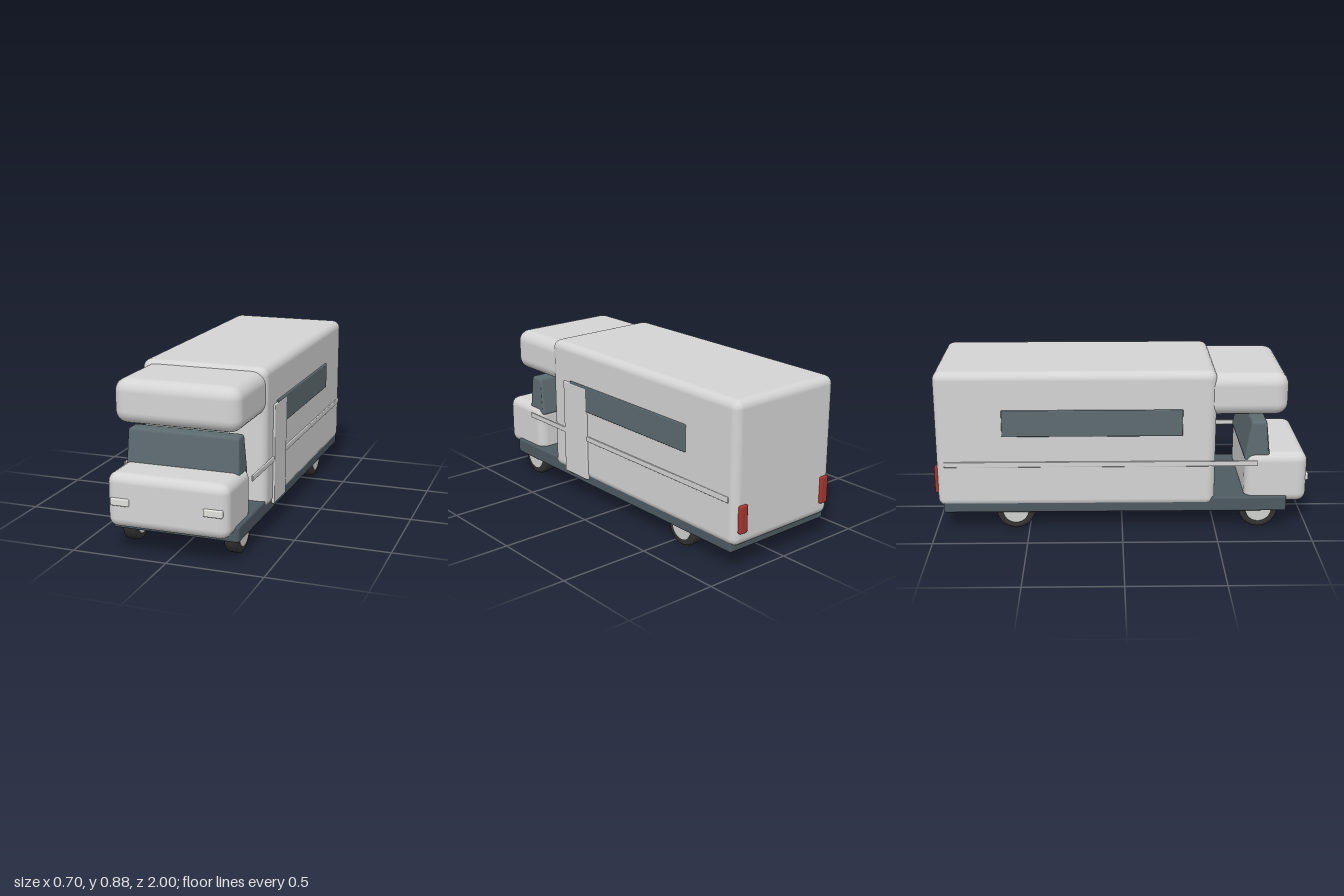
import * as THREE from 'three';
import { RoundedBoxGeometry } from 'three/addons/geometries/RoundedBoxGeometry.js';

const material = (name, color) => {
  const m = new THREE.MeshStandardMaterial({ color });
  m.name = name;
  return m;
};

export function createModel() {
  const group = new THREE.Group();
  group.name = 'motorhome';
  const paint = material('pale grey paint', 0xd4d4d4);
  const glass = material('slate glass', 0x5d6b70);
  const frame = material('dark slate frame', 0x4e5b62);
  const rubber = material('black rubber', 0x333333);
  const lamp = material('lamp white', 0xdfdfdc);
  const metal = material('hub metal', 0xd0d2d0);
  const red = material('tail red', 0xa8352e);

  const add = (name, geometry, mat) => {
    const mesh = new THREE.Mesh(geometry, mat);
    mesh.name = name;
    group.add(mesh);
    return mesh;
  };
  // Rounded box given by its extents on each axis
  const box = (name, mat, [x0, x1], [y0, y1], [z0, z1], radius, segments = 2) => {
    const g = new RoundedBoxGeometry(x1 - x0, y1 - y0, z1 - z0, segments, radius);
    g.translate((x0 + x1) / 2, (y0 + y1) / 2, (z0 + z1) / 2);
    return add(name, g, mat);
  };
  const span = (side, a, b) => (side > 0 ? [a, b] : [-b, -a]);

  // Main shells
  box('livingBody', paint, [-0.34, 0.34], [0.135, 0.882], [-0.985, 0.495], 0.045, 3);
  box('overcabBunk', paint, [-0.33, 0.33], [0.635, 0.862], [0.4, 0.872], 0.065, 3);
  box('hood', paint, [-0.317, 0.317], [0.143, 0.422], [0.655, 0.99], 0.05, 3);
  box('chassis', frame, [-0.333, 0.333], [0.102, 0.185], [-0.957, 0.882], 0.012);

  // Windshield block, tapering towards the top
  const shield = new RoundedBoxGeometry(0.6, 0.215, 0.14, 2, 0.015);
  const p = shield.attributes.position;
  for (let i = 0; i < p.count; i++) {
    const t = (p.getY(i) + 0.1075) / 0.215;
    p.setX(i, p.getX(i) * (1 - 0.025 * t));
    p.setZ(i, p.getZ(i) * (1 - 0.42 * t) + 0.007 * t);
  }
  shield.computeVertexNormals();
  shield.translate(0, 0.488, 0.72);
  add('windshield', shield, glass);

  // Entry door on one side only
  box('entryDoor', paint, [0.33, 0.35], [0.137, 0.67], [0.172, 0.376], 0.006);

  // Tyre cross-section: radius, axial position
  const tyreProfile = [
    [0.068, -0.036], [0.092, -0.036], [0.101, -0.031], [0.105, -0.02],
    [0.105, 0.02], [0.101, 0.031], [0.092, 0.036], [0.068, 0.036], [0.068, -0.036],
  ].map(([r, h]) => new THREE.Vector2(r, h));

  for (const side of [1, -1]) {
    const label = side > 0 ? 'left' : 'right';
    box(label + 'SideWindow', glass, span(side, 0.335, 0.349), [0.537, 0.681], [-0.632, 0.317], 0.005);
    box(label + 'SideTrim', paint, span(side, 0.338, 0.347), [0.366, 0.396], [-0.943, 0.716], 0.004);
    box(label + 'Headlight', lamp, span(side, 0.192, 0.291), [0.262, 0.301], [0.975, 1.0], 0.007);
    box(label + 'TailLight', red, span(side, 0.262, 0.312), [0.21, 0.356], [-1.0, -0.97], 0.007);

    for (const [axle, z] of [['Front', 0.735], ['Rear', -0.573]]) {
      const tyre = add(label + axle + 'Tyre', new THREE.LatheGeometry(tyreProfile, 28), rubber);
      const hub = add(label + axle + 'Hub', new THREE.CylinderGeometry(0.069, 0.069, 0.076, 24), metal);
      for (const part of [tyre, hub]) {
        part.rotation.z = Math.PI / 2;
        part.position.set(side * 0.272, 0.105, z);
      }
    }
  }
  return group;
}
